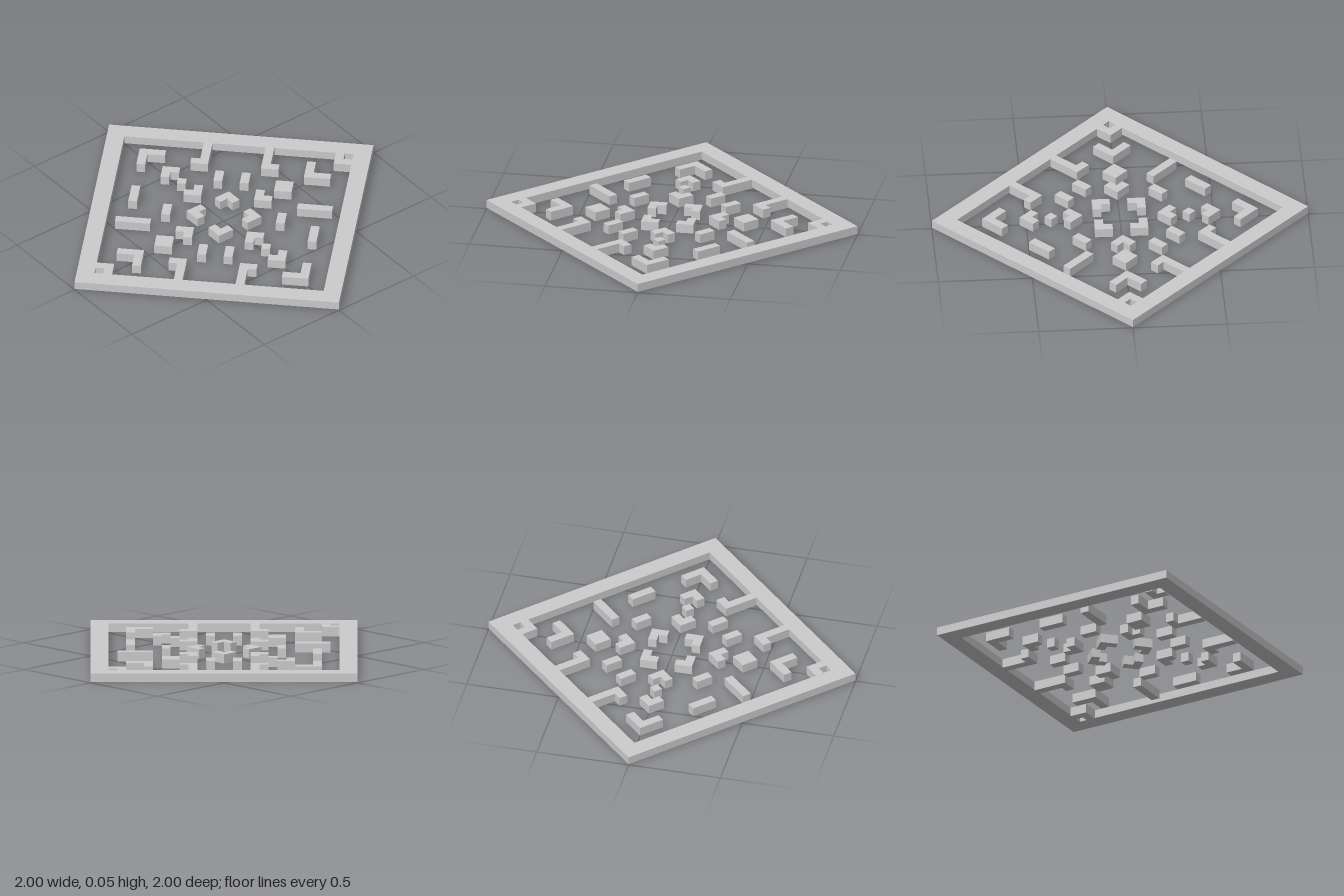
import * as THREE from 'three';

const C = Math.SQRT2 / 30; // side of one grid cell; the frame is 30 cells wide
const TOP = 0.05;
const FRAME_BOTTOM = 0.005;

const material = new THREE.MeshStandardMaterial({ color: 0xcccccc, flatShading: true });

const outline = (points) => points.map(([a, b]) => new THREE.Vector2(a * C, b * C));

const rect = (a0, a1, b0, b1) => [[a0, b0], [a1, b0], [a1, b1], [a0, b1]];

// L-shape, one cell thick, from its outer corner with signed arm lengths
function angle(a, b, da, db) {
  const sa = Math.sign(da), sb = Math.sign(db);
  return [[a, b], [a + da, b], [a + da, b + sb], [a + sa, b + sb], [a + sa, b + db], [a, b + db]];
}

// Flat slab lying in the ground plane, from bottom up to TOP
function slab(name, points, bottom = 0, hole = null) {
  const shape = new THREE.Shape(outline(points));
  if (hole) shape.holes.push(new THREE.Path(outline(hole)));
  const geometry = new THREE.ExtrudeGeometry(shape, { depth: TOP - bottom, bevelEnabled: false });
  geometry.rotateX(Math.PI / 2).translate(0, TOP, 0);
  const mesh = new THREE.Mesh(geometry, material);
  mesh.name = name;
  return mesh;
}

// One half of the pattern; the other half is its half turn
const halfPattern = [
  ['cornerAngle', angle(-11, -11, -2, -2)],
  ['largeChevron', angle(-8, -8, -3, -3)],
  ['square', rect(-7, -5, -7, -5)],
  ['innerChevron', angle(-3, -3, -2, -2)],
  ['sideLargeChevron', angle(-11, 11, 3, -3)],
  ['sideOuterChevron', angle(-8, 8, 2, -2)],
  ['sideSmallSquare', rect(-6, -5, 5, 6)],
  ['sideInnerChevron', angle(-3, 3, -2, 2)],
  ['hookedArm', angle(-9, -3, -4, -2)],
  ['hookedArm', angle(-9, 3, -4, 2)],
  ['longBar', rect(-3, -2, -12, -8)],
  ['mediumBar', rect(1, 4, -11, -10)],
  ['shortBar', rect(-1, 1, -7, -6)],
  ['shortBar', rect(-8, -6, -2, -1)],
  ['shortBar', rect(-8, -6, 1, 2)],
];

export function createModel() {
  const model = new THREE.Group();
  model.name = 'openworkPanel';

  // Square frame and pattern, turned to stand on a corner
  const diamond = new THREE.Group();
  diamond.name = 'diamond';
  diamond.rotation.y = -Math.PI / 4;
  diamond.add(slab('frame', rect(-15, 15, -15, 15), FRAME_BOTTOM, rect(-13, 13, -13, 13)));
  for (const turn of [1, -1]) {
    for (const [name, points] of halfPattern) {
      diamond.add(slab(name, points.map(([a, b]) => [a * turn, b * turn])));
    }
  }
  model.add(diamond);

  // Four angles around the centre, square to the axes
  const centre = new THREE.Group();
  centre.name = 'centreAngles';
  for (const sx of [-1, 1]) {
    for (const sz of [-1, 1]) {
      centre.add(slab('centreAngle', angle(3 * sx, 3 * sz, -2 * sx, -2 * sz)));
    }
  }
  model.add(centre);
  return model;
}
